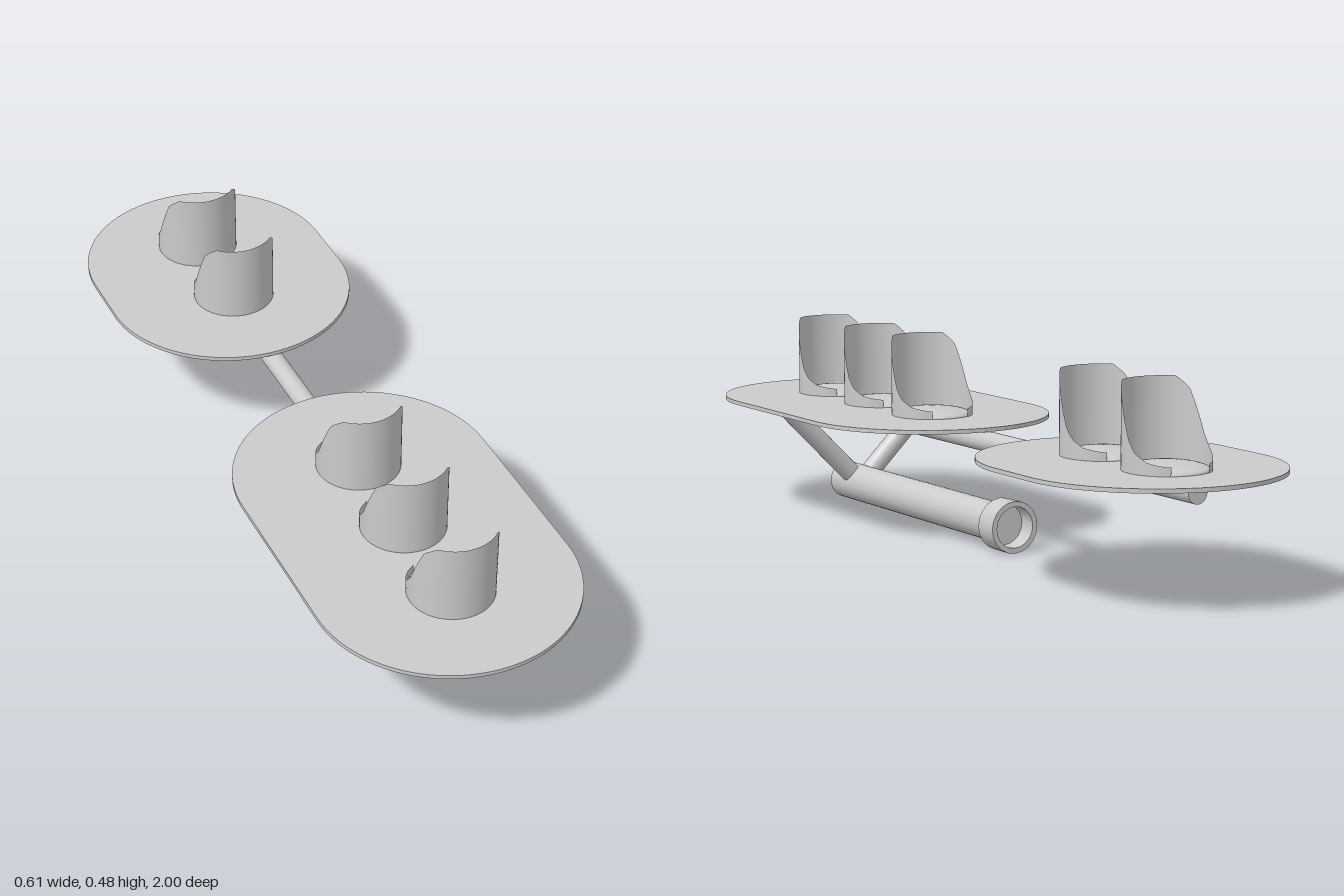
import * as THREE from 'three';

const solid = new THREE.MeshStandardMaterial({ color: 0xcccccc });
const thin = new THREE.MeshStandardMaterial({ color: 0xcccccc, side: THREE.DoubleSide });

const PLATE_TOP = 0.29;
const PLATE_BOTTOM = 0.28;
const PIPE_Y = 0.065;

// Visor rim: [z offset from the lamp centre, height]
const RIM = [[-0.1, 0.308], [-0.075, 0.312], [-0.05, 0.318], [-0.02, 0.335], [0, 0.36],
  [0.02, 0.405], [0.043, 0.458], [0.07, 0.483], [0.11, 0.483]];

function rimHeight(z) {
  const i = Math.max(1, RIM.findIndex((p) => p[0] >= z));
  const [z0, y0] = RIM[i - 1];
  const [z1, y1] = RIM[i];
  return THREE.MathUtils.mapLinear(z, z0, z1, y0, y1);
}

function add(parent, name, geometry, material = solid) {
  const mesh = new THREE.Mesh(geometry, material);
  mesh.name = name;
  parent.add(mesh);
  return mesh;
}

// Cylinder lying along z between two z values
function rodZ(radius, z0, z1, y, sides = 32) {
  return new THREE.CylinderGeometry(radius, radius, z1 - z0, sides)
    .rotateX(Math.PI / 2).translate(0, y, (z0 + z1) / 2);
}

// Flat plate with fully rounded ends
function plateGeometry(z0, z1, r) {
  const shape = new THREE.Shape();
  shape.absarc(0, -(z0 + r), r, 0, Math.PI, false);
  shape.absarc(0, -(z1 - r), r, Math.PI, Math.PI * 2, false);
  shape.closePath();
  return new THREE.ExtrudeGeometry(shape, {
    depth: PLATE_TOP - PLATE_BOTTOM, bevelEnabled: false, curveSegments: 32,
  }).rotateX(-Math.PI / 2).translate(0, PLATE_BOTTOM, 0);
}

// Open tube with a gap at the back and its top cut to the rim curve
function visorGeometry() {
  const span = THREE.MathUtils.degToRad(150);
  const geometry = new THREE.CylinderGeometry(0.1, 0.1, 1, 60, 1, true, -span, span * 2);
  const p = geometry.attributes.position;
  for (let i = 0; i < p.count; i++) {
    p.setY(i, p.getY(i) > 0 ? rimHeight(p.getZ(i)) : PLATE_TOP);
  }
  return geometry;
}

// Slanted brace cut level at both ends
function braceGeometry(side) {
  const geometry = new THREE.CylinderGeometry(0.025, 0.025, PLATE_BOTTOM - PIPE_Y, 24);
  geometry.scale(Math.SQRT2, 1, 1).translate(0, (PLATE_BOTTOM - PIPE_Y) / 2, 0);
  const p = geometry.attributes.position;
  for (let i = 0; i < p.count; i++) p.setX(i, p.getX(i) + side * p.getY(i));
  geometry.computeVertexNormals();
  return geometry.translate(0, PIPE_Y, 0.605);
}

export function createModel() {
  const model = new THREE.Group();
  model.name = 'signalHead';

  // Backing plates
  add(model, 'frontPlate', plateGeometry(-0.035, 1, 0.307));
  add(model, 'rearPlate', plateGeometry(-1, -0.245, 0.307));

  // Lamps: shallow domed lens inside a visor
  const visor = visorGeometry();
  const lens = new THREE.SphereGeometry(0.098, 32, 8, 0, Math.PI * 2, 0, Math.PI / 2)
    .scale(1, 0.2, 1).translate(0, PLATE_TOP, 0);
  for (const z of [0.725, 0.481, 0.238, -0.517, -0.76]) {
    const lamp = new THREE.Group();
    lamp.name = 'lamp';
    lamp.position.z = z;
    add(lamp, 'visor', visor, thin);
    add(lamp, 'lens', lens);
    model.add(lamp);
  }

  // Long rod under both plates
  add(model, 'supportRod', rodZ(0.025, -0.875, 0.845, 0.255));

  // Mounting pipe with a hollow collar at the back
  add(model, 'mountingPipe', rodZ(0.047, -0.085, 0.68, PIPE_Y));
  const collar = [[0.04, 0], [0.063, 0], [0.063, 0], [0.063, 0.063], [0.063, 0.063],
    [0.05, 0.063], [0.05, 0.063], [0.05, 0.015], [0.05, 0.015], [0, 0.015]];
  add(model, 'collar', new THREE.LatheGeometry(collar.map(([r, h]) => new THREE.Vector2(r, h)), 20)
    .rotateX(-Math.PI / 2).translate(0, PIPE_Y, -0.083), thin);

  // Pair of braces from the pipe to the plate
  for (const side of [1, -1]) add(model, side > 0 ? 'leftBrace' : 'rightBrace', braceGeometry(side));

  return model;
}
